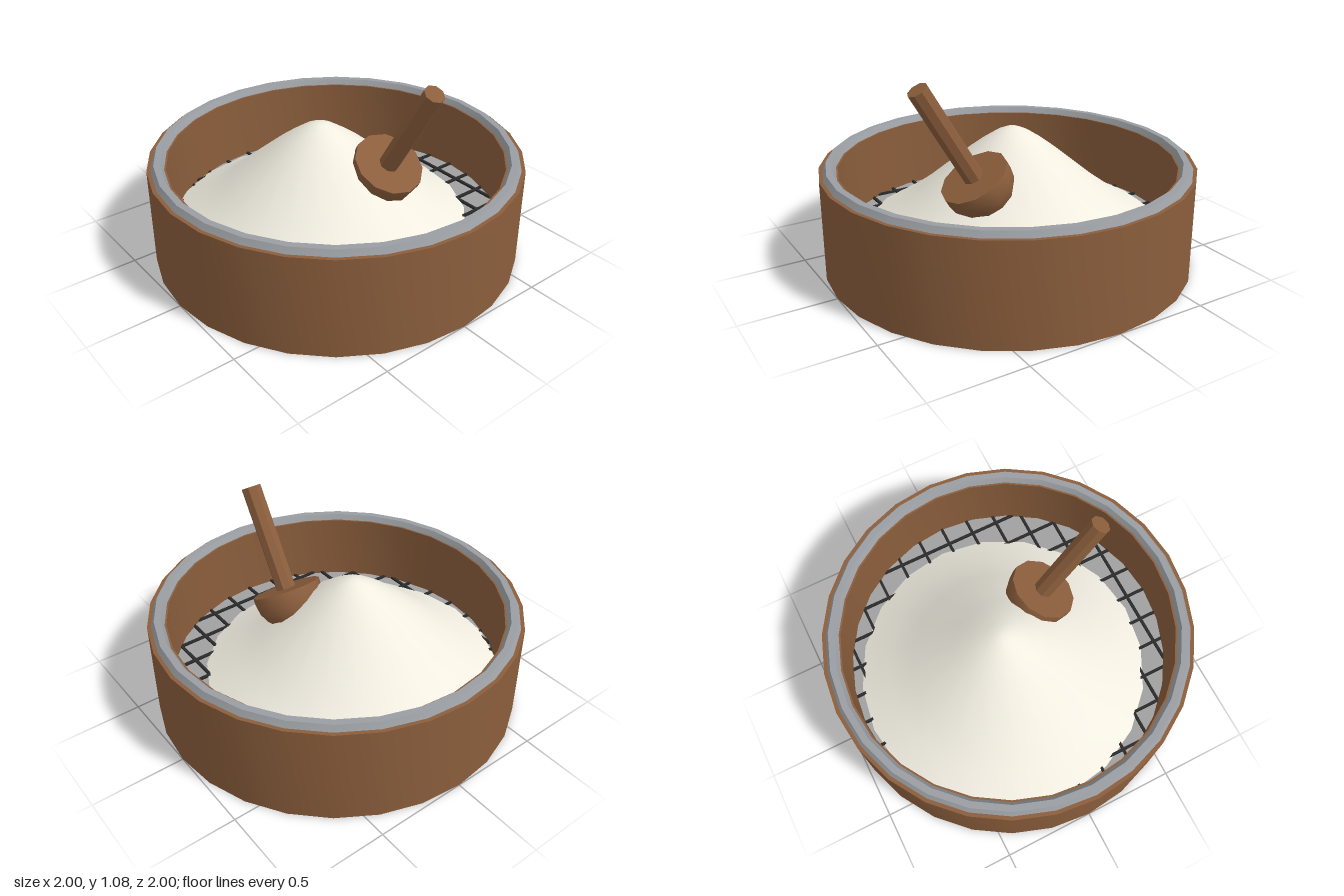
import * as THREE from 'three';
import { toCreasedNormals } from 'three/addons/utils/BufferGeometryUtils.js';

const material = (color) => new THREE.MeshStandardMaterial({ color });

export function createModel() {
  const model = new THREE.Group();
  const wood = material(0x8b5e3c);
  const metal = material(0x9a9ea2);
  const screenGrey = material(0xa0a0a0);
  const wireDark = material(0x2a2a2a);
  const flourWhite = material(0xf0ece0);

  const add = (parent, name, geometry, mat) => {
    const mesh = new THREE.Mesh(toCreasedNormals(geometry, 0.6), mat);
    mesh.name = name;
    parent.add(mesh);
    return mesh;
  };
  const lathe = (points, sides) =>
    new THREE.LatheGeometry(points.map(([r, y]) => new THREE.Vector2(r, y)), sides);

  // Wooden hoop, open at top and bottom
  add(model, 'woodenHoop',
    lathe([[0.9, 0], [1, 0], [1, 0.545], [0.9, 0.545], [0.9, 0]], 28), wood);

  // Hexagonal-section metal band on the top edge
  const rim = add(model, 'metalRim', new THREE.TorusGeometry(0.945, 0.035, 6, 28), metal);
  rim.rotation.x = -Math.PI / 2;
  rim.position.y = 0.545;

  // Sieve floor with a grid of wires cut to the hoop
  const floorY = 0.15;
  const screen = add(model, 'sieveScreen', new THREE.CylinderGeometry(0.905, 0.905, 0.02, 28), screenGrey);
  screen.position.y = floorY;
  const wires = new THREE.Group();
  wires.name = 'sieveWires';
  model.add(wires);
  for (let i = -5; i <= 5; i++) {
    const p = i * 0.158;
    const length = 2 * Math.sqrt(0.9 * 0.9 - p * p);
    const across = add(wires, 'wireAcross', new THREE.BoxGeometry(length, 0.016, 0.016), wireDark);
    across.position.set(0, floorY + 0.014, p);
    const along = add(wires, 'wireAlong', new THREE.BoxGeometry(0.016, 0.016, length), wireDark);
    along.position.set(p, floorY + 0.014, 0);
  }

  // Heap of flour, slightly off centre
  const flour = add(model, 'flourHeap', lathe([
    [0, 0.162], [0.81, 0.165], [0.65, 0.255], [0.5, 0.365], [0.25, 0.572],
    [0.17, 0.632], [0.09, 0.685], [0.04, 0.707], [0, 0.715],
  ], 20), flourWhite);
  flour.position.set(-0.065, 0, 0.06);

  // Scoop leaning to the side: rounded bowl with a flat top, and a handle
  const scoop = new THREE.Group();
  scoop.name = 'scoop';
  scoop.position.set(0.283, 0.552, -0.13);
  scoop.rotation.z = -0.54;
  model.add(scoop);
  const bowl = [];
  for (let i = 0; i <= 5; i++) {
    const a = (i / 5) * Math.PI / 2;
    bowl.push([0.19 * Math.sin(a), -0.04 - 0.19 * Math.cos(a)]);
  }
  bowl.push([0.19, 0], [0, 0]);
  add(scoop, 'scoopBowl', lathe(bowl, 12), wood);
  const handle = add(scoop, 'scoopHandle', new THREE.CylinderGeometry(0.055, 0.055, 0.6, 8), wood);
  handle.position.y = 0.28;

  return model;
}
